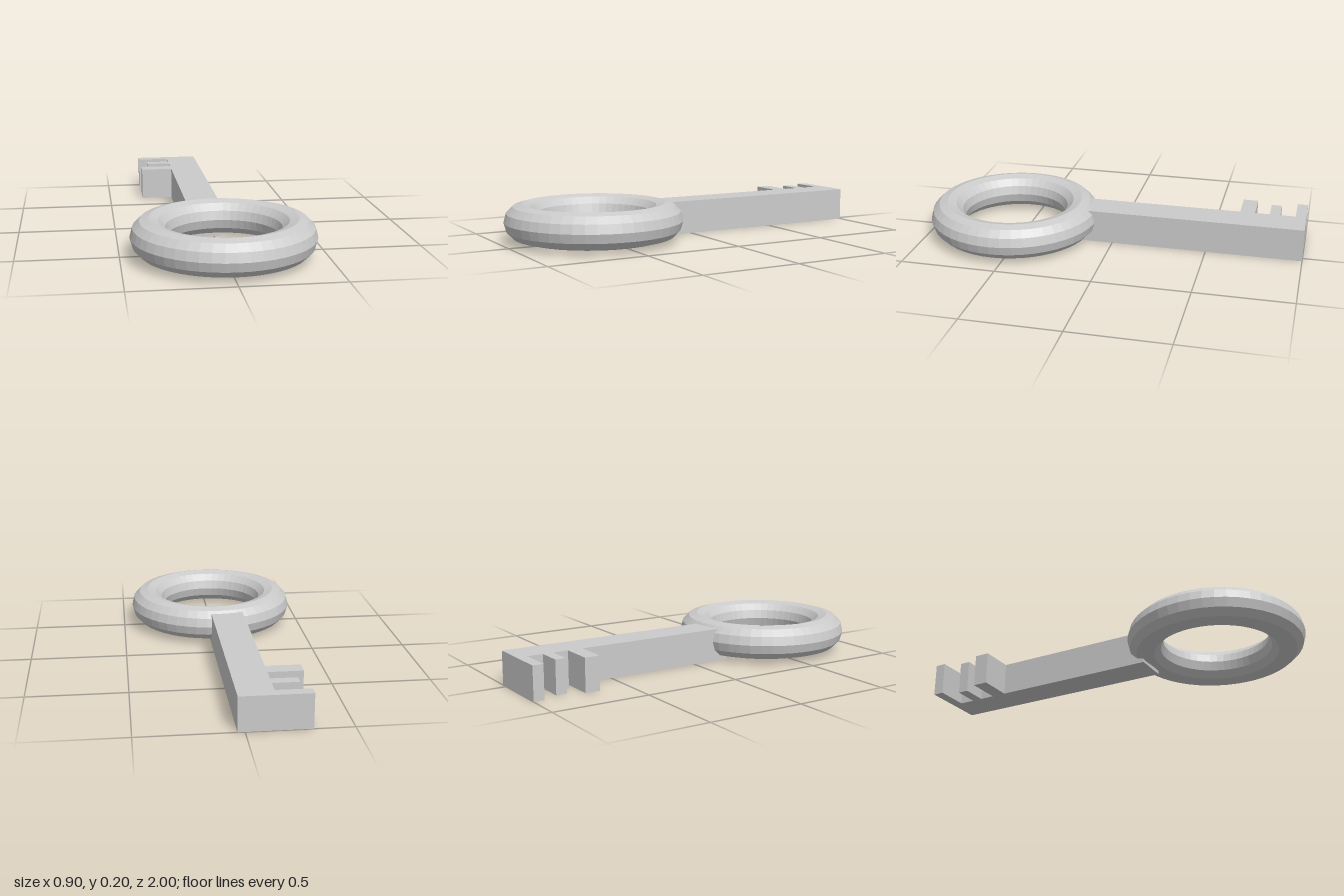
import * as THREE from 'three';

export function createModel() {
  const group = new THREE.Group();
  const material = new THREE.MeshStandardMaterial({ color: 0xcccccc, flatShading: true });

  // Faceted ring handle, lying flat
  const ring = new THREE.Mesh(new THREE.TorusGeometry(0.36, 0.091, 12, 48), material);
  ring.name = 'ringHandle';
  ring.rotation.x = -Math.PI / 2;
  ring.position.set(0, 0.106, 0.545);
  group.add(ring);

  // Shaft and teeth as one outline, seen from above (shape y is -z)
  const left = -0.138, right = 0.034, front = 0.2, back = -1;
  const teeth = [ // tip x, front z, back z
    [-0.31, -0.655, -0.733],
    [-0.268, -0.81, -0.865],
    [-0.31, -0.945, back],
  ];
  const outline = new THREE.Shape();
  outline.moveTo(right, -front);
  outline.lineTo(right, -back);
  for (const [tip, z0, z1] of [...teeth].reverse()) {
    if (z1 !== back) outline.lineTo(left, -z1);
    outline.lineTo(tip, -z1);
    outline.lineTo(tip, -z0);
    outline.lineTo(left, -z0);
  }
  outline.lineTo(left, -front);
  outline.closePath();

  const blade = new THREE.Mesh(
    new THREE.ExtrudeGeometry(outline, { depth: 0.172, bevelEnabled: false }), material);
  blade.name = 'shaftWithTeeth';
  blade.rotation.x = -Math.PI / 2;
  group.add(blade);

  return group;
}
